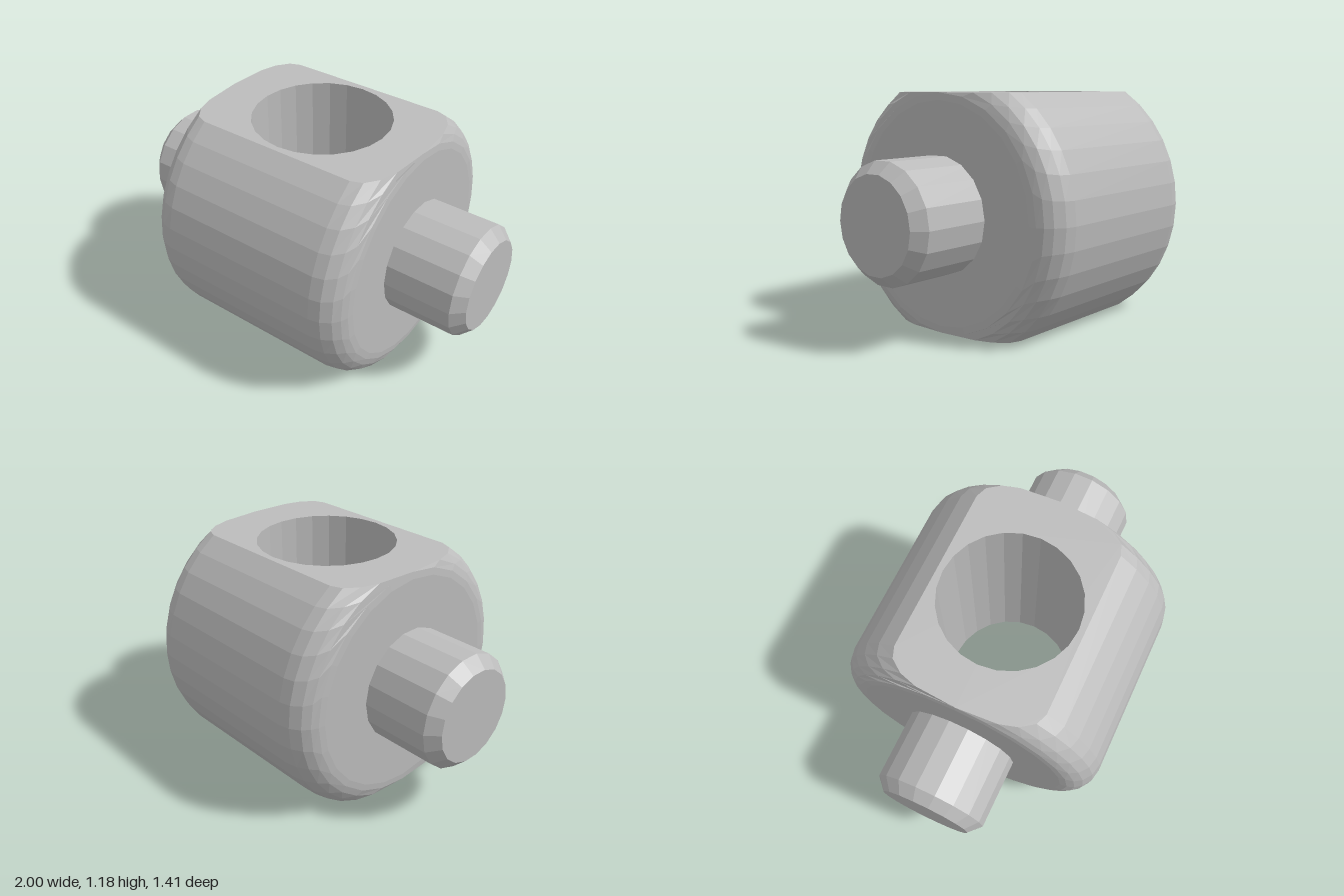
import * as THREE from 'three';

const R = 0.705;      // barrel radius
const HALF = 0.585;   // barrel half length
const FILLET = 0.15;  // rounded end edge
const FLAT = 0.59;    // half height between the two flats
const BORE = 0.355;

// Barrel profile on the +x end, from the straight wall to the axis: [x, radius]
function endProfile() {
  const pts = [];
  const cut = Math.asin((FLAT - (R - FILLET)) / FILLET); // where the fillet meets the flat
  const angles = [90, 67, 45, 28].map(THREE.MathUtils.degToRad).concat([cut, 0]);
  for (const a of angles) {
    pts.push([HALF - FILLET + FILLET * Math.cos(a), R - FILLET + FILLET * Math.sin(a)]);
  }
  pts.push([HALF, 0]);
  return pts;
}

// Half of the barrel skin (the +z side), trimmed by the flats
function barrelSide(profile) {
  const rows = [...profile.map(([x, r]) => [-x, r]).reverse(), ...profile];
  const n = 12, pos = [], index = [];
  rows.forEach(([x, r], i) => {
    const reach = r > FLAT + 1e-6 ? Math.asin(FLAT / r) : Math.PI / 2;
    for (let j = 0; j <= n; j++) {
      const t = reach * (2 * j / n - 1);
      pos.push(x, r * Math.sin(t), r * Math.cos(t));
      if (i > 0 && j > 0) {
        const d = i * (n + 1) + j, c = d - 1, b = d - n - 1, a = b - 1;
        index.push(a, c, d, a, d, b);
      }
    }
  });
  const g = new THREE.BufferGeometry();
  g.setAttribute('position', new THREE.Float32BufferAttribute(pos, 3));
  g.setIndex(index);
  g.computeVertexNormals();
  return g;
}

// Flat face with the round bore opening
function flatFace(profile) {
  const edge = profile.filter(([, r]) => r >= FLAT - 1e-6)
    .map(([x, r]) => [x, Math.sqrt(Math.max(0, r * r - FLAT * FLAT))]);
  const back = edge.slice(0, -1).reverse();
  const right = [...edge, ...back.map(([x, z]) => [x, -z])];
  const outline = [...right, ...right.map(([x, z]) => [-x, -z])];
  const shape = new THREE.Shape(outline.map(([x, z]) => new THREE.Vector2(x, z)));
  const hole = [];
  for (let i = 0; i < 24; i++) {
    const a = i / 24 * Math.PI * 2;
    hole.push(new THREE.Vector2(BORE * Math.sin(a), BORE * Math.cos(a)));
  }
  shape.holes.push(new THREE.Path(hole));
  return new THREE.ShapeGeometry(shape);
}

const lathe = (pts, sides) =>
  new THREE.LatheGeometry(pts.map(([r, y]) => new THREE.Vector2(r, y)), sides);

export function createModel() {
  const steel = new THREE.MeshStandardMaterial({ color: 0xbcbcbc, flatShading: true });
  steel.name = 'steel grey';
  const model = new THREE.Group();
  model.name = 'trunnionBlock';
  const add = (name, geometry) => {
    const mesh = new THREE.Mesh(geometry, steel);
    mesh.name = name;
    mesh.position.y = FLAT;
    model.add(mesh);
    return mesh;
  };

  // Barrel body: two curved sides and two flats
  const profile = endProfile();
  const side = barrelSide(profile);
  add('barrelFront', side);
  add('barrelBack', side).rotation.y = Math.PI;
  const flat = flatFace(profile);
  const top = add('topFlat', flat);
  top.rotation.x = -Math.PI / 2;
  top.position.y = 2 * FLAT;
  const bottom = add('bottomFlat', flat);
  bottom.rotation.x = Math.PI / 2;
  bottom.position.y = 0;

  // Vertical bore, profile runs downward so the wall faces inward
  add('bore', lathe([[BORE, FLAT], [BORE, -FLAT]], 24));

  // Chamfered pins on both ends
  const pin = lathe([[0.292, 0.5], [0.292, 0.94], [0.235, 1], [0, 1]], 18);
  add('leftPin', pin).rotation.z = -Math.PI / 2;
  add('rightPin', pin).rotation.z = Math.PI / 2;
  return model;
}
